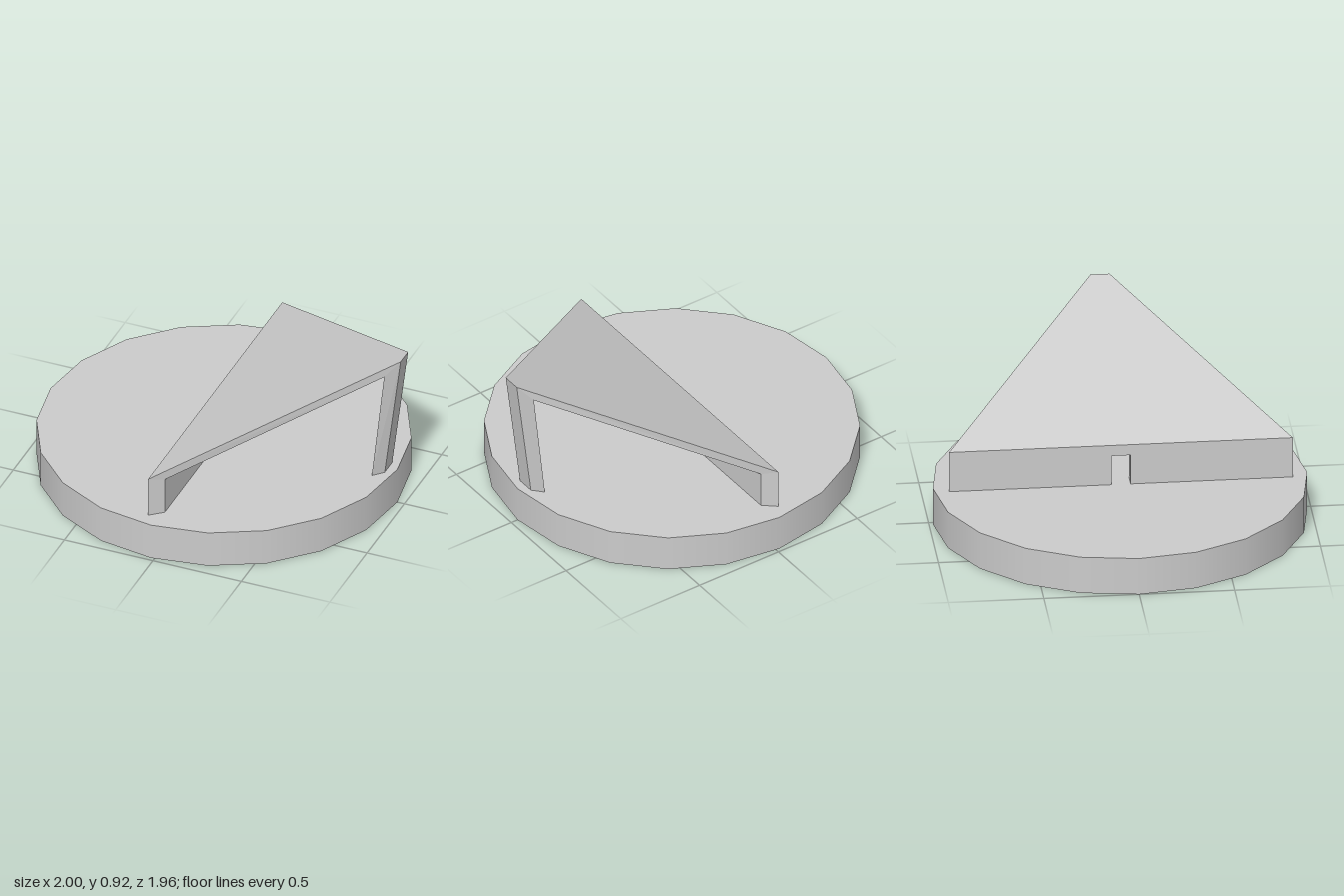
import * as THREE from 'three';

const material = new THREE.MeshStandardMaterial({ color: 0xcccccc });

// Cross-section of the bent slab: outer edge and inner edge, each [x, y] with z from lo to hi
const section = (ox, oy, oLo, oHi, ix, iy, iLo, iHi) => [
  [ox, oy, oLo], [ox, oy, oHi], [ix, iy, iHi], [ix, iy, iLo],
];
const symmetric = (ox, oy, ow, ix, iy, iw) => section(ox, oy, -ow, ow, ix, iy, -iw, iw);

// Flat-faced solid between two four-cornered sections
function solid(name, a, b) {
  const quads = [[a[0], a[3], a[2], a[1]], b];
  for (let i = 0; i < 4; i++) {
    const j = (i + 1) % 4;
    quads.push([a[i], a[j], b[j], b[i]]);
  }
  const points = quads.flatMap(([p, q, r, s]) => [p, q, r, p, r, s]).flat();
  const geometry = new THREE.BufferGeometry();
  geometry.setAttribute('position', new THREE.Float32BufferAttribute(points, 3));
  geometry.computeVertexNormals();
  const mesh = new THREE.Mesh(geometry, material);
  mesh.name = name;
  return mesh;
}

export function createModel() {
  const model = new THREE.Group();
  model.name = 'pavilion';

  // Round plinth
  const floor = 0.205, lintel = 0.37, gap = 0.05;
  const base = new THREE.Mesh(new THREE.CylinderGeometry(0.98, 0.98, floor, 20), material);
  base.name = 'base';
  base.position.set(-0.02, floor / 2, 0);
  model.add(base);

  // Mitred sections where the wall, roof and post meet
  const eave = symmetric(-0.07, 0.43, 0.9, 0, 0.41, 0.84);
  const peak = symmetric(1, 0.92, 0.05, 0.93, 0.84, 0.105);
  const foot = symmetric(0.91, floor, 0.05, 0.86, floor, 0.105);

  // Low wall, in two halves with a small doorway between
  const rightHalf = (y) => section(-0.07, y, -0.9, -gap, 0, y, -0.84, -gap);
  const leftHalf = (y) => section(-0.07, y, gap, 0.9, 0, y, gap, 0.84);
  model.add(
    solid('wallRight', rightHalf(floor), rightHalf(lintel)),
    solid('wallLeft', leftHalf(floor), leftHalf(lintel)),
    solid('wallTop', symmetric(-0.07, lintel, 0.9, 0, lintel, 0.84), eave),
  );

  // Sloping triangular roof and the leaning post under its tip
  model.add(solid('roof', eave, peak), solid('post', peak, foot));
  return model;
}
